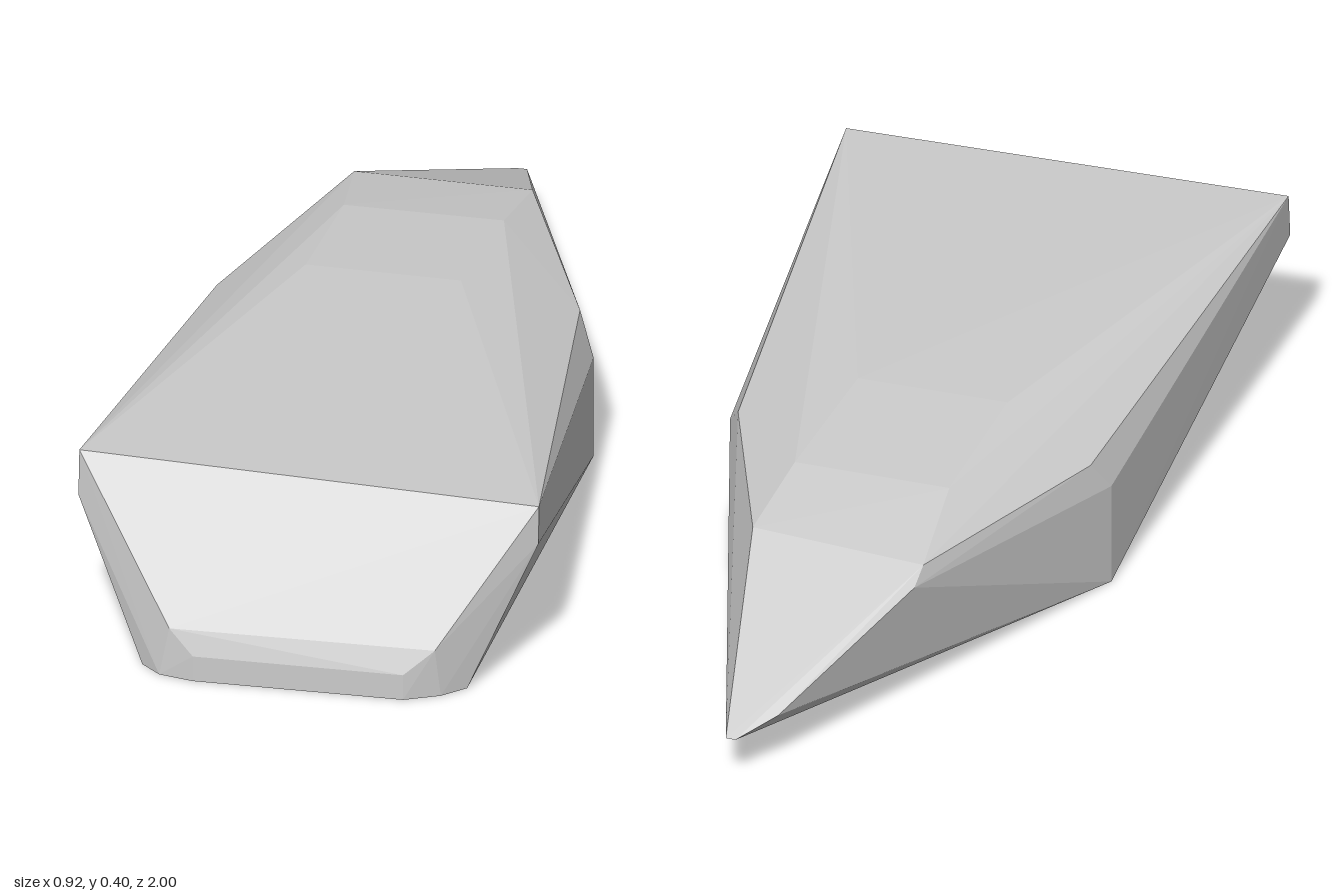
import * as THREE from 'three';
import { ConvexGeometry } from 'three/addons/geometries/ConvexGeometry.js';

// Faceted solid spanned by a few corner points
function facetedSolid(name, corners) {
  const points = corners.map(([x, y, z]) => new THREE.Vector3(x, y, z));
  const material = new THREE.MeshStandardMaterial({ color: 0xcccccc, flatShading: true });
  const mesh = new THREE.Mesh(new ConvexGeometry(points), material);
  mesh.name = name;
  return mesh;
}

export function createModel() {
  // Slanted front: upper corners, then the bevelled lower lip
  const front = [
    [-0.46, 0.395, 0.82], [0.46, 0.365, 0.83],
    [-0.46, 0.3, 0.83], [0.46, 0.285, 0.835],
    [-0.25, 0.105, 0.985], [0.28, 0.105, 0.98],
    [-0.2, 0.055, 1], [0.22, 0.055, 1],
  ];
  // Flat underside, rounded towards the rear
  const underside = [
    [-0.2, 0, 1], [0.22, 0, 1],
    [-0.27, 0, 0.985], [0.29, 0, 0.97],
    [-0.31, 0, 0.95], [0.335, 0, 0.93],
    [-0.385, 0, -0.05], [0.405, 0, -0.05],
    [0.22, 0, -0.36], [0.1, 0, -0.42], [-0.03, 0, -0.4], [-0.16, 0, -0.27],
  ];
  // Shoulders where the sides turn inwards
  const shoulders = [
    [-0.385, 0.22, -0.05], [0.405, 0.22, -0.05],
    [-0.355, 0.285, -0.09], [0.365, 0.285, -0.12],
  ];
  // Gently curved top
  const top = [
    [-0.17, 0.371, -0.05], [0.14, 0.366, -0.05],
    [-0.15, 0.345, -0.35], [0.17, 0.342, -0.35],
    [-0.17, 0.3, -0.57], [0.19, 0.305, -0.55],
    [-0.165, 0.27, -0.61],
  ];
  // Pointed rear tip
  const tip = [[0.01, 0.128, -0.93], [0.075, 0.1, -1], [0.095, 0.1, -1]];

  const model = new THREE.Group();
  model.name = 'wedge';
  model.add(facetedSolid('body', [...front, ...underside, ...shoulders, ...top, ...tip]));
  return model;
}
